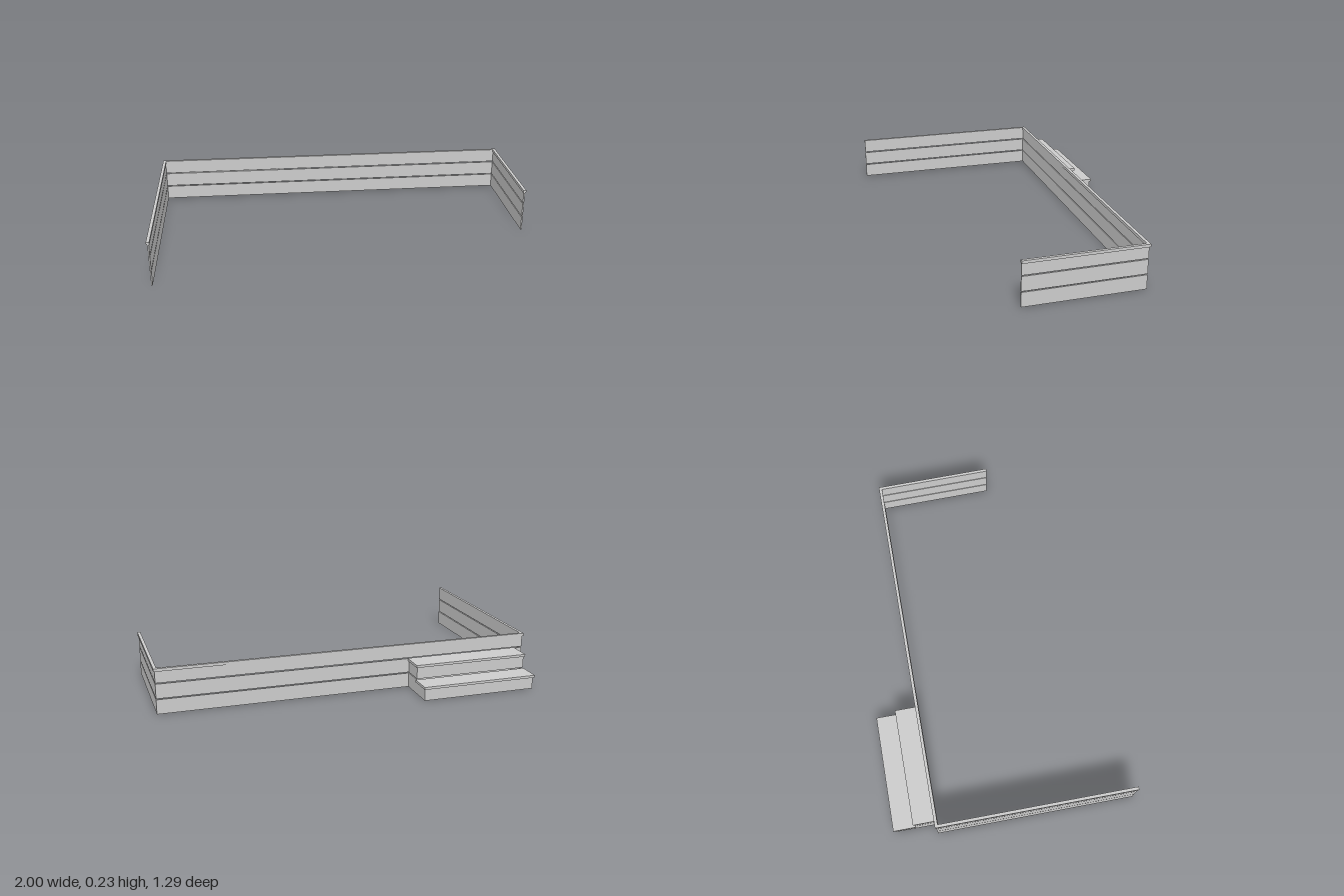
import * as THREE from 'three';

const material = new THREE.MeshStandardMaterial({ color: 0xcccccc, flatShading: true });

// Plan outline (x, z) of the coping's outer edge, open at the front.
const outline = [[-0.972, 0.645], [-1, -0.412], [0.975, -0.461], [1, 0.17]]
  .map(([x, z]) => new THREE.Vector2(x, z));

// Shift the outline inwards by d with mitred corners.
function inset(d) {
  const normals = outline.slice(1).map((p, i) => {
    const t = p.clone().sub(outline[i]).normalize();
    return new THREE.Vector2(-t.y, t.x);
  });
  return outline.map((p, i) => {
    const a = normals[Math.max(i - 1, 0)];
    const b = normals[Math.min(i, normals.length - 1)];
    const miter = a.clone().add(b);
    return p.clone().addScaledVector(miter, d / (1 + a.dot(b)));
  });
}

// U-shaped band between two insets, from y0 to y1.
function band(name, d0, d1, y0, y1) {
  const points = [...inset(d0), ...inset(d1).reverse()];
  const shape = new THREE.Shape(points.map(p => new THREE.Vector2(p.x, -p.y)));
  const geometry = new THREE.ExtrudeGeometry(shape, { depth: y1 - y0, bevelEnabled: false });
  geometry.rotateX(-Math.PI / 2).translate(0, y0, 0);
  const mesh = new THREE.Mesh(geometry, material);
  mesh.name = name;
  return mesh;
}

// Box given by its limits; depth is measured outwards from the back wall.
function box(name, x0, x1, y0, y1, depth0, depth1) {
  const geometry = new THREE.BoxGeometry(x1 - x0, y1 - y0, depth1 - depth0);
  geometry.translate((x0 + x1) / 2, (y0 + y1) / 2, -(depth0 + depth1) / 2);
  const mesh = new THREE.Mesh(geometry, material);
  mesh.name = name;
  return mesh;
}

function createSteps() {
  const steps = new THREE.Group();
  steps.name = 'steps';
  const x0 = 0.041, x1 = 0.659, lip = 0.006, board = 0.008;

  // Treads
  steps.add(box('lowerTread', x0, x1, 0.062, 0.075, 0.108, 0.226));
  steps.add(box('upperTread', x0, x1, 0.142, 0.155, 0, 0.117));

  // Risers
  const r0 = x0 + lip, r1 = x1 - lip;
  steps.add(box('lowerRiser', r0, r1, 0, 0.062, 0.217 - board, 0.217));
  steps.add(box('upperRiser', r0, r1, 0.08, 0.142, 0.11 - board, 0.11));

  // Side boards, open underneath
  for (const x of [r0, r1 - board]) {
    steps.add(box('lowerSide', x, x + board, 0, 0.062, 0, 0.217 - board));
    steps.add(box('lowerSideTop', x, x + board, 0.062, 0.075, 0, 0.108));
    steps.add(box('upperSide', x, x + board, 0.08, 0.142, 0, 0.11 - board));
  }

  // Follow the slight skew of the back wall
  const wall = inset(0.006);
  steps.position.set(wall[1].x, 0, wall[1].y);
  steps.rotation.y = Math.atan2(wall[1].y - wall[2].y, wall[2].x - wall[1].x);
  return steps;
}

export function createModel() {
  const model = new THREE.Group();
  model.name = 'deckSkirting';

  // Three boards with narrow gaps, topped by a coping
  [[0, 0.075], [0.08, 0.155], [0.16, 0.22]].forEach(([y0, y1], i) => {
    model.add(band(`wallBoard${i + 1}`, 0.006, 0.013, y0, y1));
  });
  model.add(band('coping', 0, 0.016, 0.22, 0.235));

  model.add(createSteps());
  return model;
}
